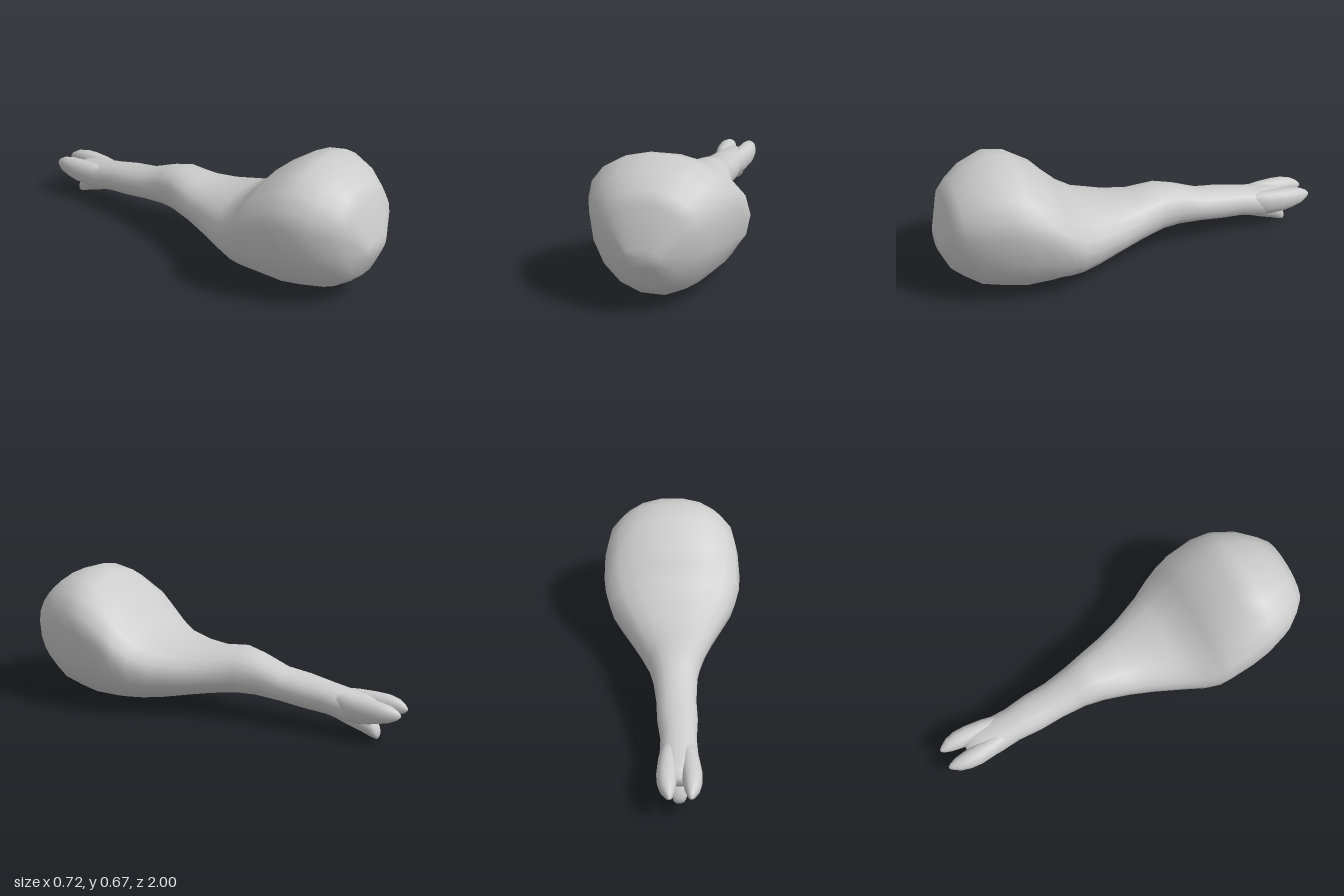
import * as THREE from 'three';

const SIDES = 18;

// Each section: [z, bottom, top, xMin, xMax]
const BODY = [
  [1.0, 0.25, 0.34, -0.08, 0.08],
  [0.95, 0.14, 0.53, -0.19, 0.18],
  [0.9, 0.095, 0.58, -0.24, 0.225],
  [0.82, 0.04, 0.635, -0.3, 0.285],
  [0.7, 0.015, 0.674, -0.345, 0.335],
  [0.6, 0.0, 0.65, -0.36, 0.355],
  [0.47, 0.01, 0.56, -0.363, 0.36],
  [0.41, 0.02, 0.492, -0.357, 0.353],
  [0.34, 0.031, 0.425, -0.328, 0.33],
  [0.25, 0.046, 0.375, -0.278, 0.285],
  [0.1, 0.08, 0.35, -0.21, 0.22],
  [-0.02, 0.105, 0.343, -0.165, 0.175],
  [-0.15, 0.122, 0.362, -0.13, 0.135],
  [-0.25, 0.125, 0.337, -0.108, 0.112],
  [-0.38, 0.115, 0.285, -0.098, 0.098],
  [-0.5, 0.1, 0.268, -0.1, 0.096],
  [-0.62, 0.088, 0.244, -0.09, 0.083],
  [-0.73, 0.065, 0.222, -0.095, 0.09],
  [-0.8, 0.065, 0.212, -0.095, 0.092],
  [-0.85, 0.085, 0.195, -0.07, 0.07],
  [-0.88, 0.12, 0.17, -0.03, 0.03],
];

const KNUCKLE = [
  [-0.64, 0.13, 0.215, 0.0, 0.07],
  [-0.75, 0.09, 0.219, 0.003, 0.097],
  [-0.84, 0.092, 0.217, 0.007, 0.107],
  [-0.9, 0.106, 0.212, 0.014, 0.105],
  [-0.95, 0.118, 0.2, 0.022, 0.092],
  [-0.985, 0.134, 0.18, 0.034, 0.07],
  [-1.0, 0.148, 0.163, 0.044, 0.057],
];

const SPUR = [
  [-0.6, 0.1, 0.2, -0.06, 0.06],
  [-0.73, 0.052, 0.17, -0.066, 0.066],
  [-0.8, 0.028, 0.15, -0.058, 0.058],
  [-0.85, 0.007, 0.11, -0.045, 0.045],
  [-0.875, 0.0, 0.065, -0.03, 0.03],
  [-0.882, 0.015, 0.045, -0.015, 0.015],
];

// Loft of rounded sections, closed at both ends; the meaty end is widest above its middle
function loft(sections) {
  const pos = [], index = [];
  for (const [z, bottom, top, xMin, xMax] of sections) {
    const cx = (xMin + xMax) / 2, rx = (xMax - xMin) / 2;
    const bias = 0.52 + 0.11 * THREE.MathUtils.smoothstep(z, 0, 0.6);
    const cy = bottom + bias * (top - bottom);
    for (let j = 0; j < SIDES; j++) {
      const a = (j / SIDES) * Math.PI * 2;
      const c = Math.cos(a), s = Math.sin(a);
      const px = Math.sign(c) * Math.abs(c) ** 0.93;
      const py = Math.sign(s) * Math.abs(s) ** 0.95;
      pos.push(cx + px * rx, cy + py * (s > 0 ? top - cy : cy - bottom), z);
    }
  }
  const n = sections.length;
  for (let i = 0; i < n - 1; i++) {
    for (let j = 0; j < SIDES; j++) {
      const a = i * SIDES + j, b = i * SIDES + ((j + 1) % SIDES);
      const c = a + SIDES, d = b + SIDES;
      index.push(a, c, b, b, c, d);
    }
  }
  // End caps
  for (const [i, front] of [[0, true], [n - 1, false]]) {
    const [z, bottom, top, xMin, xMax] = sections[i];
    const centre = pos.length / 3;
    pos.push((xMin + xMax) / 2, (bottom + top) / 2, z);
    for (let j = 0; j < SIDES; j++) {
      const a = i * SIDES + j, b = i * SIDES + ((j + 1) % SIDES);
      if (front) index.push(centre, a, b);
      else index.push(centre, b, a);
    }
  }
  const geo = new THREE.BufferGeometry();
  geo.setAttribute('position', new THREE.Float32BufferAttribute(pos, 3));
  geo.setIndex(index);
  geo.computeVertexNormals();
  return geo;
}

export function createModel() {
  const group = new THREE.Group();
  group.name = 'drumstick';
  const material = new THREE.MeshStandardMaterial({ color: 0xcccccc });

  function add(name, sections) {
    const mesh = new THREE.Mesh(loft(sections), material);
    mesh.name = name;
    group.add(mesh);
  }

  add('meatAndShank', BODY);

  // Two upper knuckles with a narrow notch between them
  add('leftKnuckle', KNUCKLE);
  add('rightKnuckle', KNUCKLE.map(([z, b, t, xMin, xMax]) => [z, b, t, -xMax, -xMin]));

  // Lower knuckle pointing down and back
  add('lowerKnuckle', SPUR);

  return group;
}
